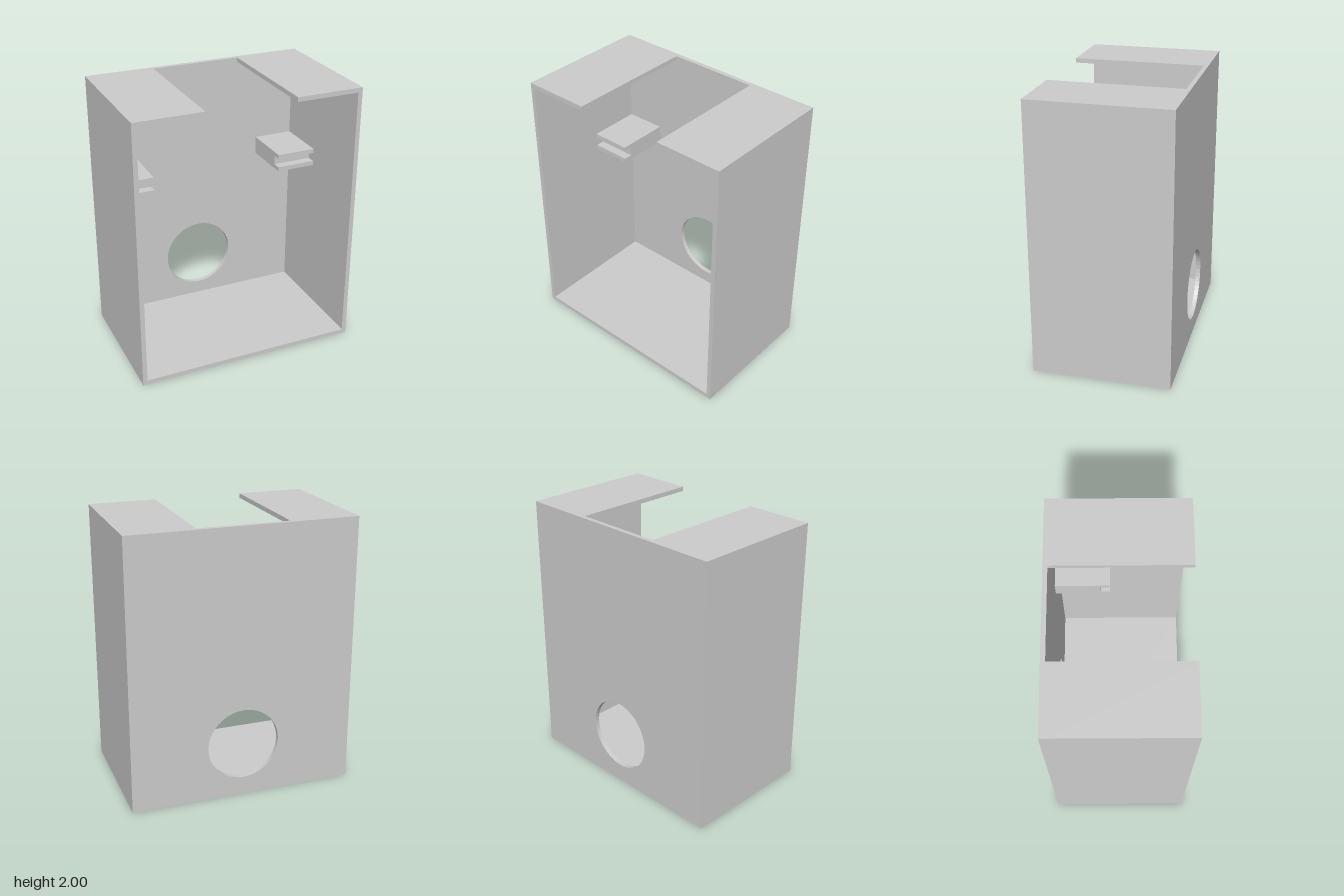
import * as THREE from 'three';

const W = 0.8333, H = 2, D = 0.5, T = 0.0333; // half width, height, half depth, wall
const SLOT = 0.3333;                          // half width of the top opening

const material = new THREE.MeshStandardMaterial({ color: 0xcccccc, flatShading: true });

const polygon = (points) => new THREE.Shape(points.map(([x, y]) => new THREE.Vector2(x, y)));

function extrude(name, shape, depth, curveSegments = 12) {
  const geometry = new THREE.ExtrudeGeometry(shape, { depth, curveSegments, bevelEnabled: false });
  const mesh = new THREE.Mesh(geometry, material);
  mesh.name = name;
  return mesh;
}

export function createModel() {
  const model = new THREE.Group();
  model.name = 'openBox';

  // Floor, side walls and the two top flaps as one bent strip
  const half = [[W, 0], [W, H], [SLOT, H], [SLOT, H - T], [W - T, H - T], [W - T, T]];
  const mirrored = half.map(([x, y]) => [-x, y]).reverse();
  const shell = extrude('shell', polygon([...half, ...mirrored]), 2 * D - T);
  shell.position.z = -D + T;
  model.add(shell);

  // Back wall with a round opening
  const back = polygon([[-W, 0], [W, 0], [W, H], [-W, H]]);
  back.holes.push(new THREE.Path().absarc(0, 0.4, 0.2667, 0, Math.PI * 2, true));
  const backWall = extrude('backWall', back, T, 24);
  backWall.position.z = -D;
  model.add(backWall);

  // Grooved brackets: side profile in (z, y), extruded across x
  const rear = -D + T, front = -0.0667, groove = front - 0.0667;
  const profile = polygon([
    [-rear, 1.2], [-rear, 1.3333], [-front, 1.3333], [-front, 1.3],
    [-groove, 1.3], [-groove, 1.2333], [-front, 1.2333], [-front, 1.2],
  ]);
  for (const [name, x] of [['leftBracket', 0.5], ['rightBracket', -W + T]]) {
    const bracket = extrude(name, profile, 0.3);
    bracket.rotation.y = Math.PI / 2; // profile x runs to -z, depth runs to +x
    bracket.position.x = x;
    model.add(bracket);
  }

  return model;
}
